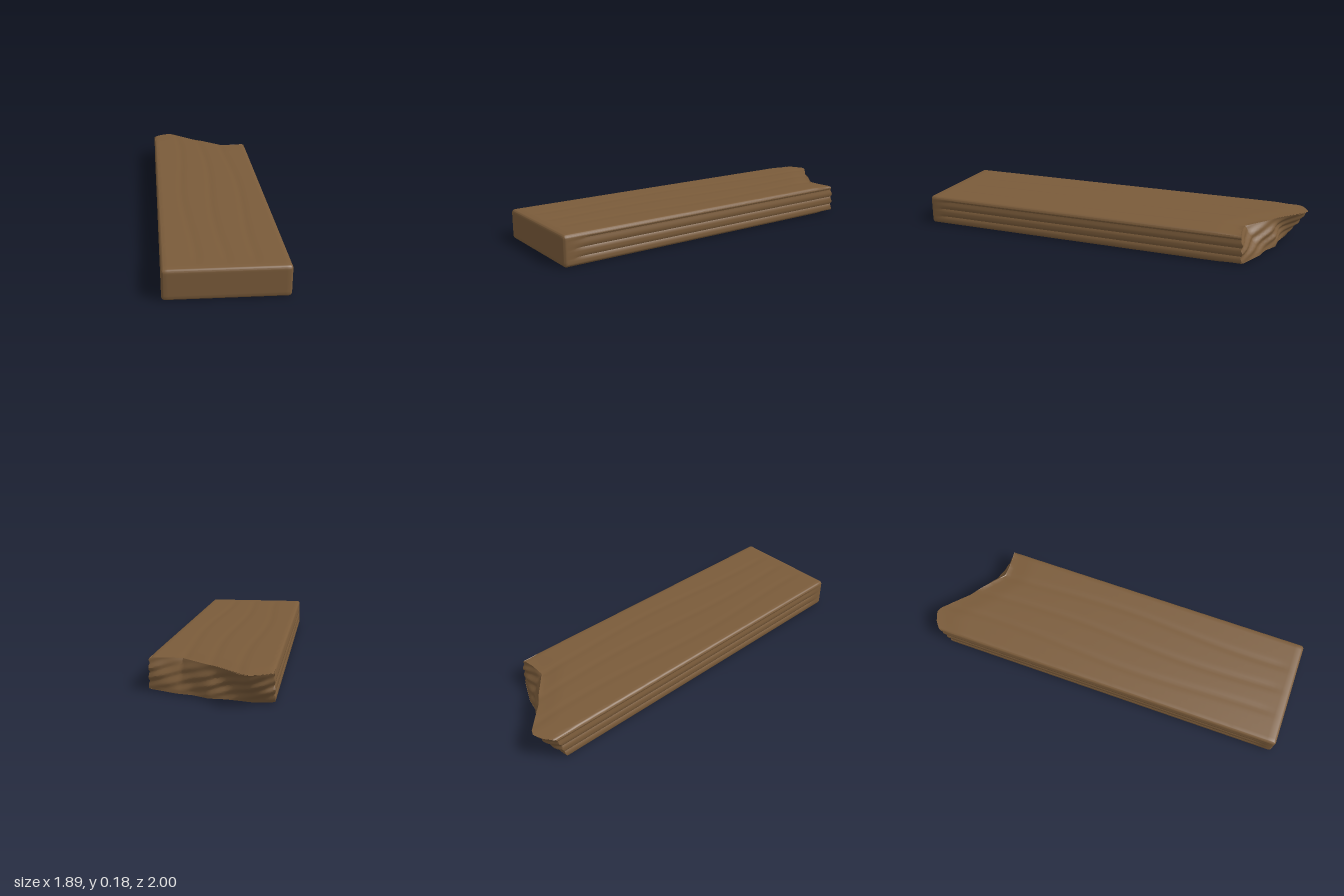
import * as THREE from 'three';
import { mergeVertices, toCreasedNormals } from 'three/addons/utils/BufferGeometryUtils.js';

const WIDTH = 0.68, HEIGHT = 0.179, RADIUS = 0.02;

// Length of the plank at distance v across it, along its upper and lower edge: [v, length]
const UPPER_END = [[0, 2.235], [0.05, 2.275], [0.113, 2.3], [0.15, 2.284], [0.29, 2.148], [0.37, 2.09], [0.5, 1.98], [0.6, 1.985], [0.68, 1.995]];
const LOWER_END = [[0, 2.17], [0.12, 2.18], [0.25, 2.15], [0.34, 2.148], [0.43, 2.1], [0.51, 2.085], [0.6, 2.045], [0.68, 2.01]];

function sample(profile, v) {
  let i = 1;
  while (i < profile.length - 1 && v > profile[i][0]) i++;
  const [a, b] = [profile[i - 1], profile[i]];
  return THREE.MathUtils.mapLinear(v, a[0], b[0], a[1], b[1]);
}

const bell = (x, width) => Math.exp(-((x / width) ** 2));

// Evenly spaced stops with extra ones inside the rounded edges
function stops(size, count, roundEnd = true) {
  const edge = [0, 0.35, 0.7].map((f) => f * RADIUS);
  const last = roundEnd ? size - RADIUS : size;
  const list = [...edge];
  for (let i = 0; i <= count; i++) list.push(RADIUS + ((last - RADIUS) * i) / count);
  if (roundEnd) list.push(...edge.reverse().map((e) => size - e));
  return list;
}

// Jagged break: sloped between the two edges, with a ridge and splinters
function brokenEnd(v, y) {
  const t = THREE.MathUtils.clamp(y / HEIGHT, 0, 1);
  const slope = THREE.MathUtils.lerp(sample(LOWER_END, v), sample(UPPER_END, v), t);
  const inside = Math.sin(Math.PI * t);
  const splinter = 0.012 * Math.sin(v * 31 + t * 9) * Math.sin(t * 13 + v * 8);
  const ridge = 0.018 * bell(v - 0.46, 0.1) - 0.02 * bell(v - 0.22, 0.07);
  return slope + inside * (ridge + splinter);
}

function plankGeometry() {
  const vs = stops(WIDTH, 40), ys = stops(HEIGHT, 14), us = stops(1, 60, false);
  let geometry = new THREE.BoxGeometry(1, 1, 1, vs.length - 1, ys.length - 1, us.length - 1);
  geometry.deleteAttribute('uv');
  geometry.deleteAttribute('normal');
  geometry = mergeVertices(geometry);
  const pos = geometry.attributes.position;
  const pick = (list, f) => list[Math.round(f * (list.length - 1))];
  const p = new THREE.Vector3(), core = new THREE.Vector3(), d = new THREE.Vector3();

  for (let i = 0; i < pos.count; i++) {
    p.set(pick(vs, pos.getX(i) + 0.5), pick(ys, pos.getY(i) + 0.5), pick(us, 0.5 - pos.getZ(i)));
    const onTop = p.y > HEIGHT - 1e-6, onBottom = p.y < 1e-6;
    const onLeft = p.x > WIDTH - 1e-6, onRight = p.x < 1e-6;

    // Rounded long edges and sawn end
    core.set(
      THREE.MathUtils.clamp(p.x, RADIUS, WIDTH - RADIUS),
      THREE.MathUtils.clamp(p.y, RADIUS, HEIGHT - RADIUS),
      Math.max(p.z, RADIUS)
    );
    d.subVectors(p, core);
    const largest = Math.max(Math.abs(d.x), Math.abs(d.y), Math.abs(d.z));
    if (largest > 1e-9) p.copy(core).addScaledVector(d, largest / d.length());

    // Stretch each fibre out to the break
    const s = Math.max(0, (p.z - RADIUS) / (1 - RADIUS));
    if (s > 0) p.z = RADIUS + s * (brokenEnd(p.x, p.y) - RADIUS);
    const fade = THREE.MathUtils.smoothstep(s, 0, 0.06);

    // Wavy grain on the broad faces
    if (onTop || onBottom) {
      let grain = 0;
      for (const c of [0.17, 0.34, 0.51]) {
        grain += bell(p.x - c - 0.018 * Math.sin(p.z * 3.6 + c * 7), 0.02);
      }
      const worn = 0.008 * THREE.MathUtils.smoothstep(s, 0.92, 1);
      p.y += (onTop ? -1 : 1) * (0.003 * grain * fade + worn);
    }

    // Straight grooves along the narrow sides
    if (onLeft || onRight) {
      let groove = 0;
      for (const c of [0.05, 0.1, 0.145]) groove += bell(p.y - c, 0.007);
      p.x += (onRight ? 1 : -1) * 0.006 * groove * fade;
    }
    pos.setXYZ(i, p.x, p.y, -p.z);
  }
  return toCreasedNormals(geometry, 0.5);
}

export function createModel() {
  const model = new THREE.Group();
  model.name = 'brokenPlank';
  const plank = new THREE.Mesh(plankGeometry(), new THREE.MeshStandardMaterial({ color: 0x7a5b3a }));
  plank.name = 'plank';
  plank.rotation.y = 0.657;
  plank.position.set(0.41, 0, 1.005);
  model.add(plank);
  return model;
}
